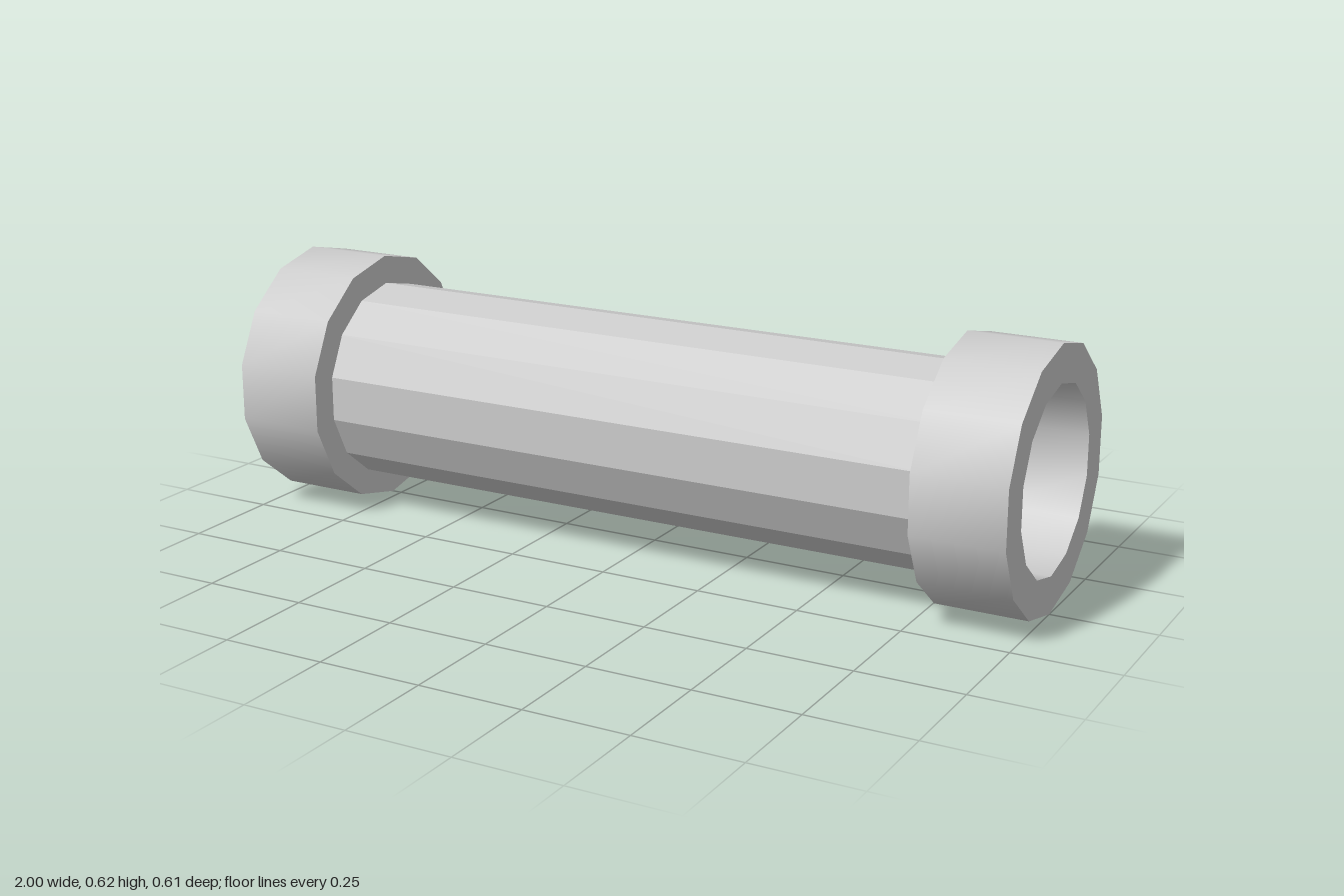
import * as THREE from 'three';
import { toCreasedNormals } from 'three/addons/utils/BufferGeometryUtils.js';

const SIDES = 14;
const RADIUS = 0.311;

export function createModel() {
  const group = new THREE.Group();
  const smooth = new THREE.MeshStandardMaterial({ color: 0xcccccc });
  const flat = new THREE.MeshStandardMaterial({ color: 0xcccccc, flatShading: true });

  // Lay a part along x with a corner of its polygon pointing straight up
  const add = (name, geometry, material, y, z) => {
    geometry.rotateZ(-Math.PI / 2);
    const mesh = new THREE.Mesh(geometry, material);
    mesh.name = name;
    mesh.position.set(0, y, z);
    group.add(mesh);
  };

  // Faceted pipe, its closed ends form the floors of the collar sockets
  add('pipe', new THREE.CylinderGeometry(0.244, 0.244, 1.6, SIDES, 1, false, Math.PI / 2), flat, 0.308, -0.002);

  // Thick collar rings, smooth around and sharp at the rims
  const collar = (name, from, to) => {
    const profile = [[0.221, from], [RADIUS, from], [RADIUS, to], [0.221, to], [0.221, from]]
      .map(([r, x]) => new THREE.Vector2(r, x));
    const lathe = new THREE.LatheGeometry(profile, SIDES, Math.PI / 2);
    add(name, toCreasedNormals(lathe, 0.6), smooth, RADIUS, 0);
  };
  collar('leftCollar', 0.78, 1);
  collar('rightCollar', -1, -0.775);

  return group;
}
